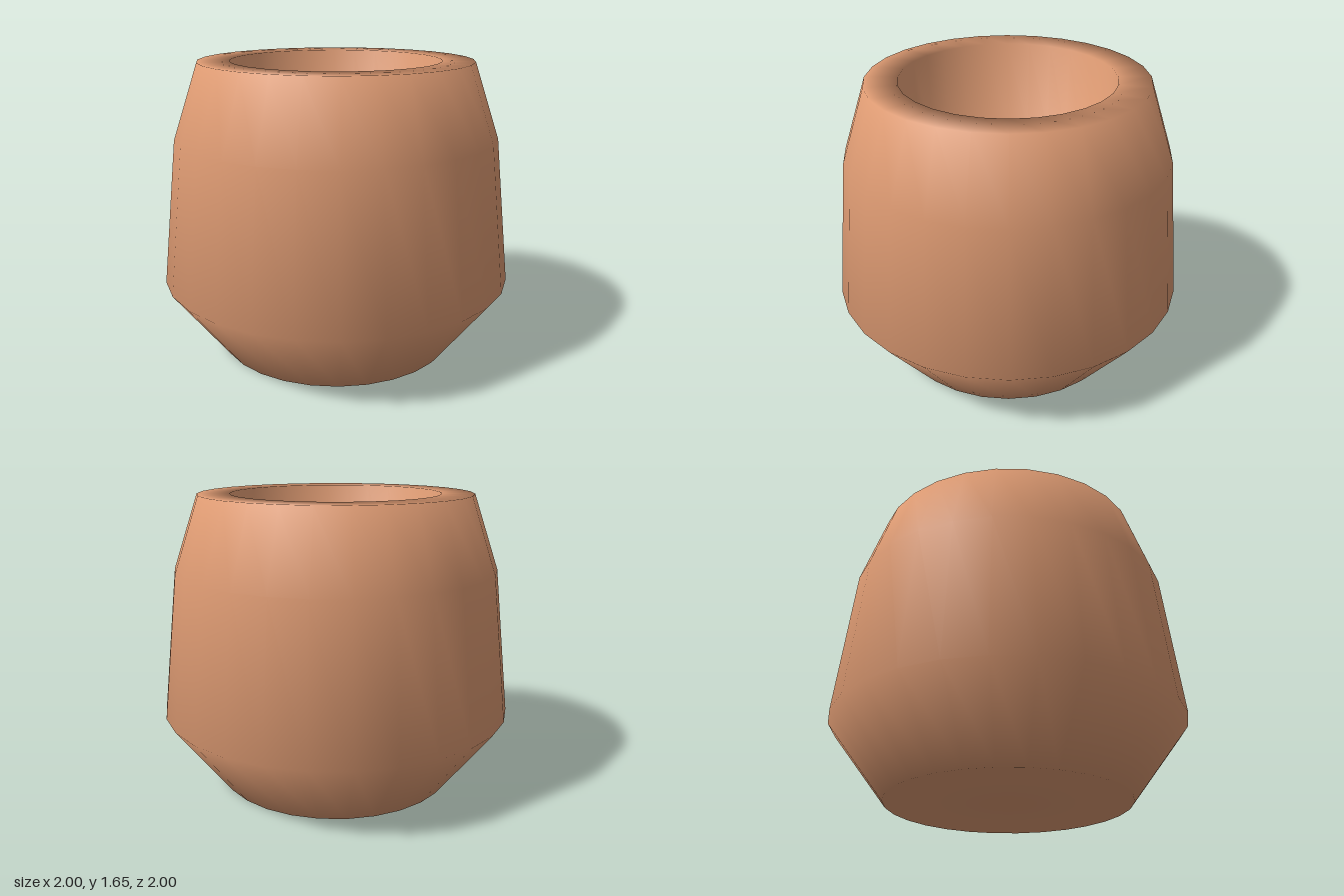
import * as THREE from 'three';

const SIDES = 28;

export function createModel() {
  const terracotta = new THREE.MeshStandardMaterial({ color: 0xdd9a72 });
  terracotta.name = 'terracotta';

  const group = new THREE.Group();
  group.name = 'pot';

  // One smooth turned wall: base, belly, shoulder, flat rim, cavity wall, sloping floor
  const profile = [
    [0, 0], [0.68, 0], [1, 0.42], [0.91, 1.24], [0.77, 1.655],
    [0.59, 1.655], [0.58, 1.12], [0, 0.47],
  ].map(([r, y]) => new THREE.Vector2(r, y));

  const body = new THREE.Mesh(new THREE.LatheGeometry(profile, SIDES), terracotta);
  body.name = 'potBody';
  group.add(body);

  return group;
}
